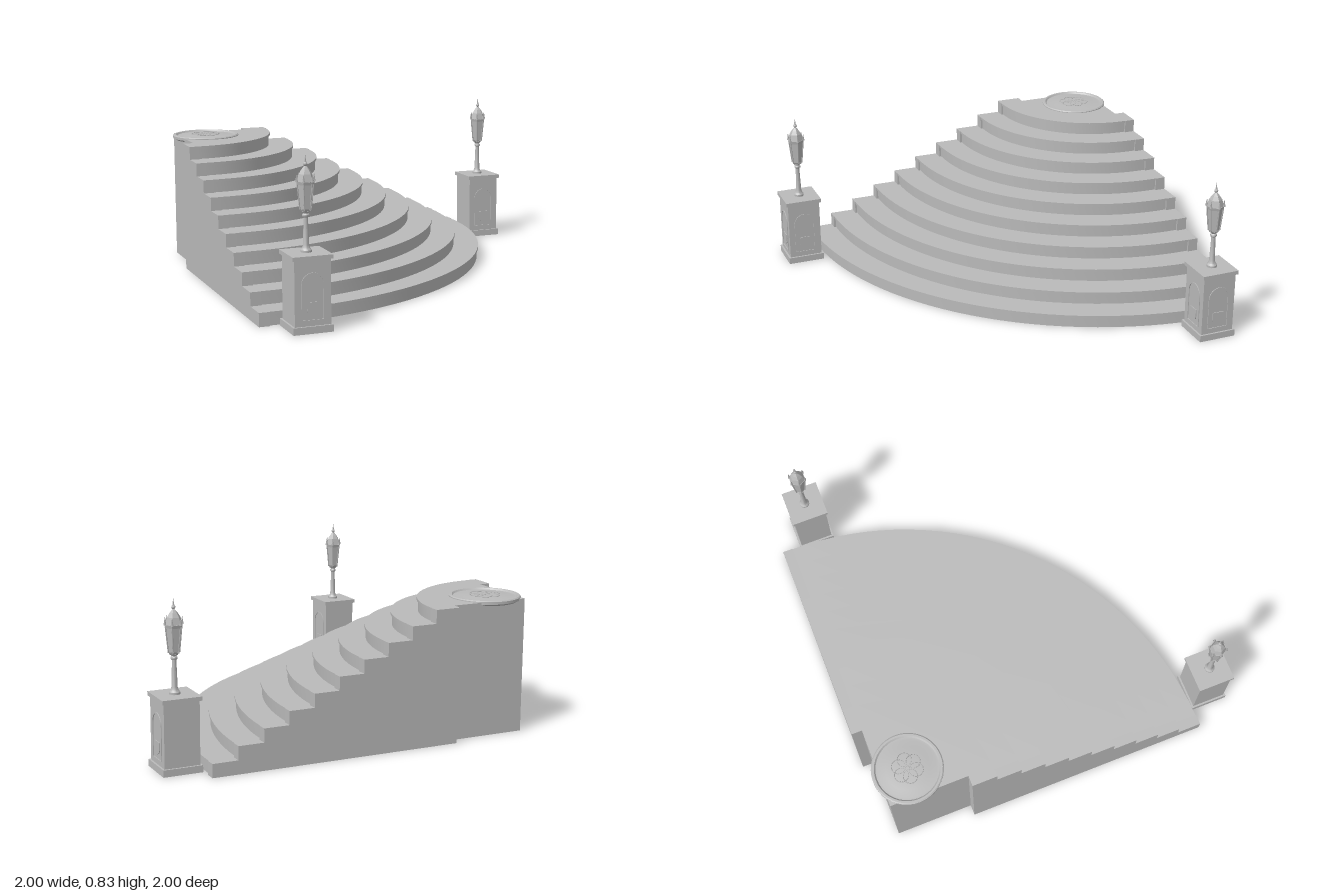
import * as THREE from 'three';
import { toCreasedNormals } from 'three/addons/utils/BufferGeometryUtils.js';

const STEPS = 10, RISE = 0.0695, RUN = 0.1325, TOP_R = 0.545;
const EDGE = -0.945; // corner of the quarter circle and inner faces of the side walls

export function createModel() {
  const model = new THREE.Group();
  const stone = new THREE.MeshStandardMaterial({ color: 0xbababa });
  stone.name = 'grey stone';

  const add = (parent, name, geo, x = 0, y = 0, z = 0) => {
    const mesh = new THREE.Mesh(geo, stone);
    mesh.name = name;
    mesh.position.set(x, y, z);
    parent.add(mesh);
    return mesh;
  };

  // Quarter-circle slab hanging down from y = 0
  const slab = (r, depth) => {
    const s = new THREE.Shape();
    s.moveTo(EDGE, EDGE);
    s.lineTo(EDGE + r, EDGE);
    s.absarc(EDGE, EDGE, r, 0, Math.PI / 2, false);
    s.lineTo(EDGE, EDGE);
    const g = new THREE.ExtrudeGeometry(s, { depth, bevelEnabled: false, curveSegments: 16 });
    g.rotateX(Math.PI / 2);
    return toCreasedNormals(g, 0.5);
  };

  // Steps with a thin overhanging nosing
  const stairs = new THREE.Group();
  stairs.name = 'stairs';
  model.add(stairs);
  for (let i = 0; i < STEPS; i++) {
    const r = TOP_R + (STEPS - 1 - i) * RUN, top = (i + 1) * RISE;
    add(stairs, 'tread', slab(r, 0.013), 0, top, 0);
    add(stairs, 'riser', slab(r - 0.008, RISE - 0.013), 0, top - 0.013, 0);
  }

  // Stepped side walls along the two straight sides
  const profile = new THREE.Shape();
  profile.moveTo(-0.53, 0);
  profile.lineTo(-0.53, STEPS * RISE);
  for (let i = STEPS; i > 0; i--) {
    const u = EDGE + TOP_R + 0.003 + (STEPS - i) * RUN;
    profile.lineTo(u, i * RISE);
    profile.lineTo(u, (i - 1) * RISE);
  }
  profile.closePath();
  const wall = new THREE.ExtrudeGeometry(profile, { depth: 0.055, bevelEnabled: false });
  add(model, 'backWall', wall, 0, 0, -1);
  add(model, 'sideWall', wall, EDGE, 0, 0).rotation.y = -Math.PI / 2;

  // Round medallion on the landing: moulded rim and shallow dome
  const medallion = new THREE.Group();
  medallion.name = 'medallion';
  medallion.position.set(-0.798, STEPS * RISE, -0.8);
  model.add(medallion);
  const rim = [[0, -0.02], [0.165, -0.02], [0.183, -0.01], [0.183, 0.004], [0.177, 0.009],
    [0.167, 0.009], [0.16, 0.001], [0.148, 0.001], [0.11, 0.006], [0.06, 0.009], [0, 0.01]];
  add(medallion, 'medallionDisc', toCreasedNormals(
    new THREE.LatheGeometry(rim.map(p => new THREE.Vector2(...p)), 40), 0.5));
  for (let i = 0; i < 6; i++) {
    const a = i * Math.PI / 3;
    add(medallion, 'petal', new THREE.TorusGeometry(0.036, 0.002, 4, 16).rotateX(Math.PI / 2),
      0.045 * Math.cos(a), 0.009, 0.045 * Math.sin(a));
  }

  // Arched frame and shield applied to a pedestal face, facing +z
  const arch = (s, w, h) => {
    s.moveTo(-w, 0);
    s.lineTo(w, 0);
    s.lineTo(w, h - w);
    s.absarc(0, h - w, w, 0, Math.PI, false);
    s.closePath();
    return s;
  };
  const frame = arch(new THREE.Shape(), 0.058, 0.225);
  frame.holes.push(arch(new THREE.Path(), 0.052, 0.219));
  const shield = new THREE.Shape();
  shield.moveTo(-0.03, 0.065);
  shield.lineTo(0.03, 0.065);
  shield.lineTo(0.03, 0.025);
  shield.quadraticCurveTo(0.028, 0.008, 0, 0);
  shield.quadraticCurveTo(-0.028, 0.008, -0.03, 0.025);
  shield.closePath();
  const plate = s => new THREE.ExtrudeGeometry(s, { depth: 0.005, bevelEnabled: false, curveSegments: 10 });

  function pedestal() {
    const g = new THREE.Group();
    g.name = 'pedestal';
    add(g, 'pedestalBase', new THREE.BoxGeometry(0.2, 0.035, 0.2), 0, 0.0175, 0);
    add(g, 'pedestalBody', new THREE.BoxGeometry(0.18, 0.32, 0.18), 0, 0.195, 0);
    add(g, 'pedestalCap', new THREE.BoxGeometry(0.2, 0.02, 0.2), 0, 0.36, 0);
    for (const turn of [0, Math.PI / 2]) {
      const face = new THREE.Group();
      face.name = 'pedestalPanel';
      face.rotation.y = turn;
      add(face, 'archFrame', plate(frame), 0, 0.065, 0.089);
      add(face, 'shield', plate(shield), 0, 0.085, 0.089);
      g.add(face);
    }
    return g;
  }

  // Street lamp: turned post and six-sided lantern
  function lamp() {
    const g = new THREE.Group();
    g.name = 'lamp';
    g.position.y = 0.37;
    g.rotation.y = Math.PI / 6;
    const post = [[0, 0], [0.027, 0], [0.027, 0.01], [0.019, 0.02], [0.015, 0.035], [0.011, 0.15],
      [0.011, 0.165], [0.017, 0.17], [0.017, 0.178], [0.012, 0.184], [0.024, 0.196], [0, 0.2]];
    add(g, 'lampPost', toCreasedNormals(
      new THREE.LatheGeometry(post.map(p => new THREE.Vector2(...p)), 12), 0.6));
    const hex = (name, top, bottom, y0, y1) =>
      add(g, name, new THREE.CylinderGeometry(top, bottom, y1 - y0, 6).toNonIndexed(), 0, (y0 + y1) / 2, 0)
        .geometry.computeVertexNormals();
    hex('lanternFoot', 0.03, 0.021, 0.19, 0.205);
    hex('lanternGlass', 0.038, 0.027, 0.205, 0.32);
    hex('lanternCollar', 0.046, 0.042, 0.32, 0.335);
    hex('lanternRoof', 0.033, 0.043, 0.335, 0.37);
    hex('lanternDome', 0.02, 0.033, 0.37, 0.39);
    hex('lanternCap', 0.007, 0.02, 0.39, 0.405);
    for (let i = 0; i < 6; i++) {
      const a = i * Math.PI / 3, s = Math.sin(a), c = Math.cos(a);
      // Slanted corner bars and the crown of small points
      const bar = new THREE.LineCurve3(new THREE.Vector3(0.028 * s, 0.2, 0.028 * c),
        new THREE.Vector3(0.041 * s, 0.325, 0.041 * c));
      add(g, 'lanternBar', new THREE.TubeGeometry(bar, 1, 0.004, 4));
      add(g, 'crownPoint', new THREE.ConeGeometry(0.009, 0.04, 4), 0.043 * s, 0.353, 0.043 * c);
    }
    add(g, 'finialBall', new THREE.SphereGeometry(0.01, 10, 8), 0, 0.416, 0);
    add(g, 'finialTip', new THREE.ConeGeometry(0.006, 0.042, 8), 0, 0.439, 0);
    return g;
  }

  // One lamp pedestal at each foot of the stairs
  for (const [x, z] of [[0.9, -0.797], [-0.797, 0.9]]) {
    const p = pedestal();
    p.add(lamp());
    p.position.set(x, 0, z);
    model.add(p);
  }
  return model;
}
